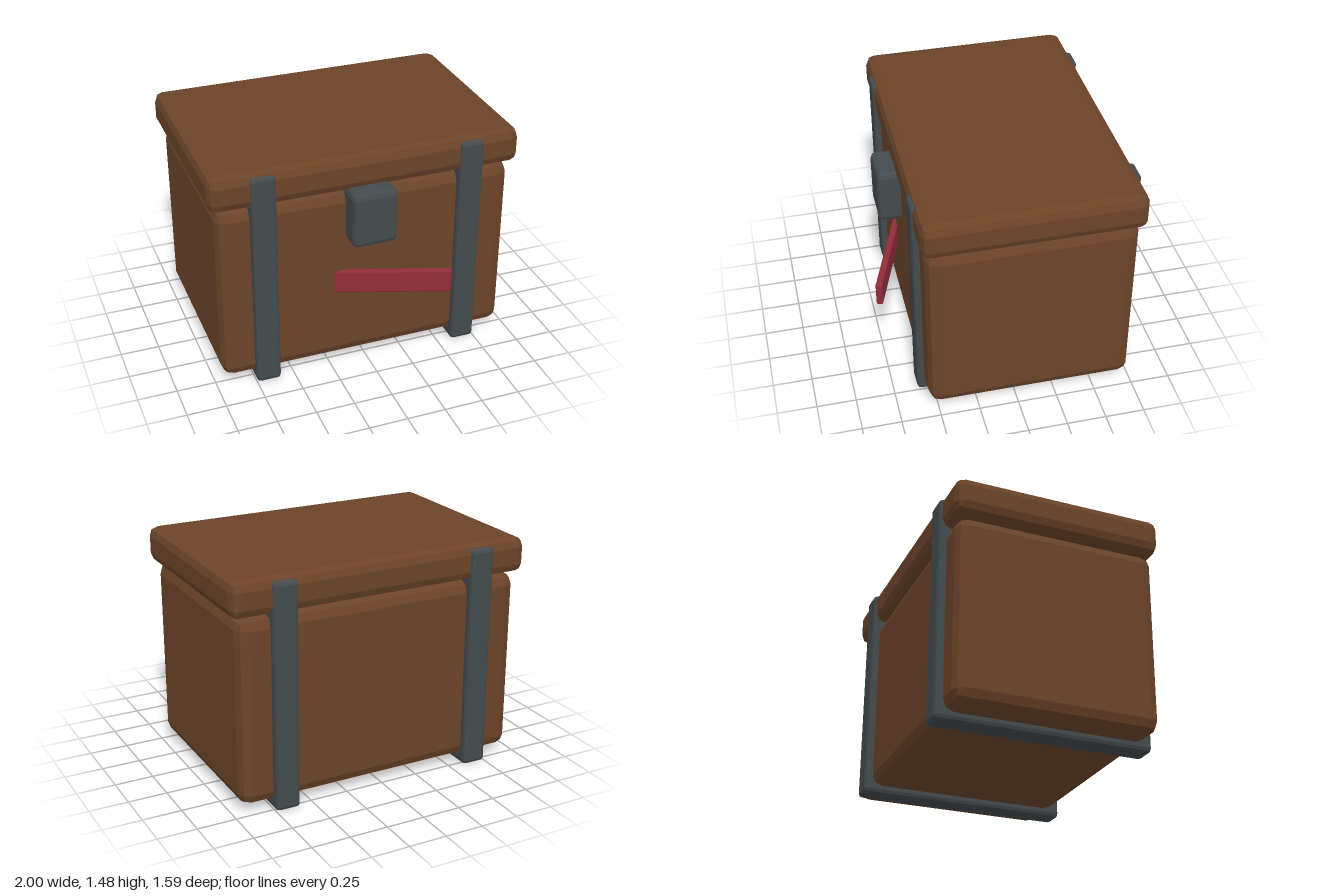
import * as THREE from 'three';
import { RoundedBoxGeometry } from 'three/addons/geometries/RoundedBoxGeometry.js';

const paint = (color) => new THREE.MeshStandardMaterial({ color, flatShading: true });

// Bevelled block given by its extents on each axis
function block(name, [x0, x1], [y0, y1], [z0, z1], bevel, material) {
  const geometry = new RoundedBoxGeometry(x1 - x0, y1 - y0, z1 - z0, 1, bevel);
  const mesh = new THREE.Mesh(geometry, material);
  mesh.name = name;
  mesh.position.set((x0 + x1) / 2, (y0 + y1) / 2, (z0 + z1) / 2);
  return mesh;
}

export function createModel() {
  const model = new THREE.Group();
  model.name = 'chest';
  const wood = paint(0x6b4429);
  const iron = paint(0x444a4d);
  const red = paint(0x912d3a);

  // Wooden box and overhanging lid
  model.add(block('body', [-0.955, 0.955], [0.05, 1.24], [-0.745, 0.555], 0.07, wood));
  model.add(block('lid', [-1, 1], [1.25, 1.48], [-0.775, 0.585], 0.06, wood));

  // Iron bands running around front, bottom and back
  for (const side of [-1, 1]) {
    const x = side * 0.67;
    const name = side > 0 ? 'leftBand' : 'rightBand';
    model.add(block(name, [x - 0.08, x + 0.08], [0, 1.455], [-0.795, 0.6], 0.025, iron));
  }

  // Latch plate
  model.add(block('latch', [-0.145, 0.145], [0.915, 1.275], [0.42, 0.7], 0.035, iron));

  // Tongue sticking out of the front at an angle
  const tongue = block('tongue', [-0.4, 0.4], [0.53, 0.69], [-0.021, 0.021], 0.012, red);
  tongue.position.x = 0.104;
  tongue.position.z = 0.645;
  tongue.rotation.y = -0.335;
  model.add(tongue);

  return model;
}
